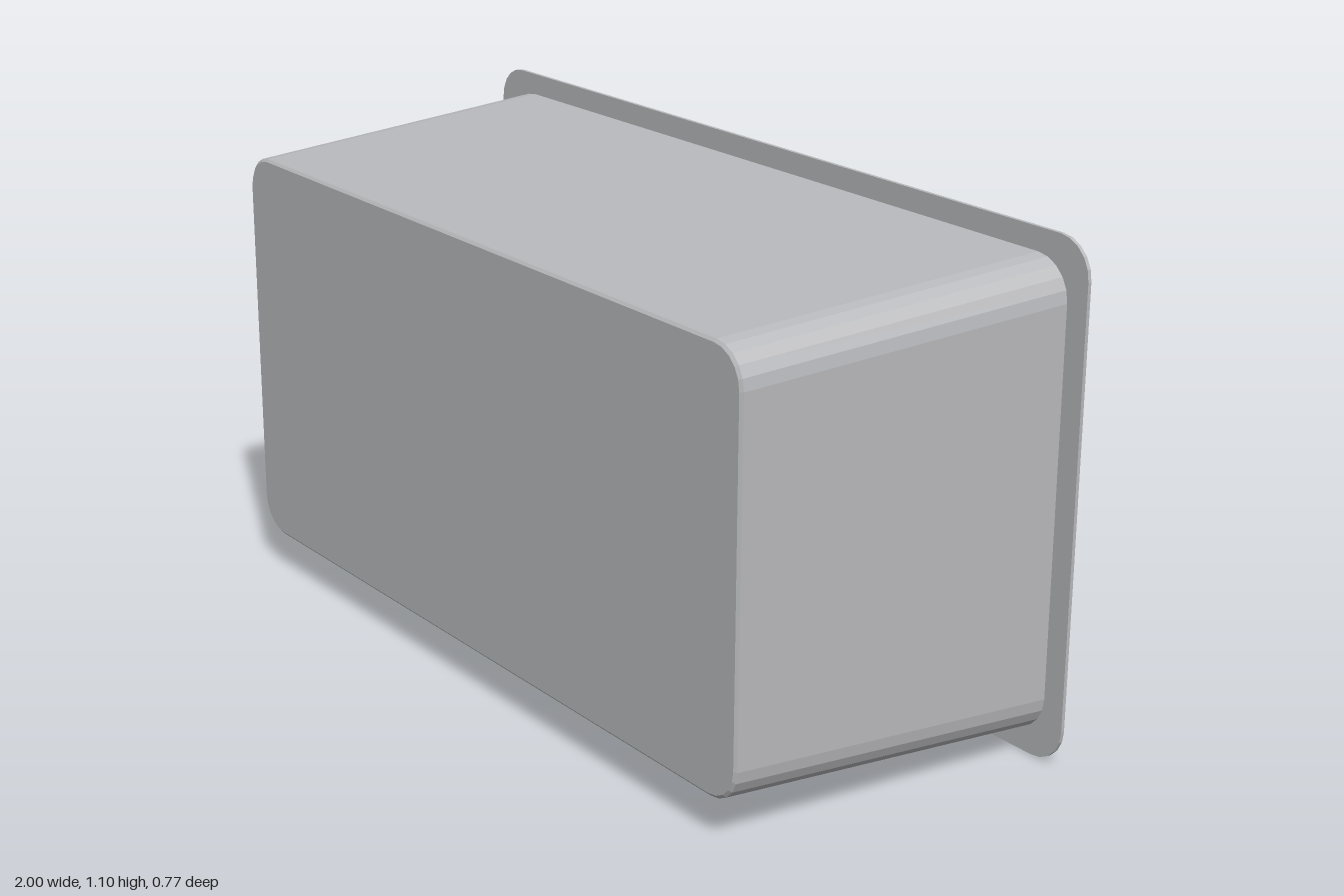
import * as THREE from 'three';

const mat = (name, color, flatShading = false) => {
  const m = new THREE.MeshStandardMaterial({ color, flatShading });
  m.name = name;
  return m;
};

// Rounded rectangle outline, counter-clockwise; segs = 1 gives chamfered corners
function outline(hw, hh, r, segs) {
  const pts = [];
  [[1, 1], [-1, 1], [-1, -1], [1, -1]].forEach(([sx, sy], c) => {
    for (let i = 0; i <= segs; i++) {
      const a = (c + i / segs) * Math.PI / 2;
      pts.push([sx * (hw - r) + r * Math.cos(a), sy * (hh - r) + r * Math.sin(a)]);
    }
  });
  return pts;
}

// Capped skin through sections [z, halfWidth, halfHeight, cornerRadius]
function loft(sections, segs) {
  const pos = [];
  const rings = sections.map(([z, w, h, r]) => outline(w, h, r, segs).map(([x, y]) => [x, y, z]));
  const n = rings[0].length;
  const tri = (...p) => p.forEach(v => pos.push(...v));
  const first = rings[0], last = rings[rings.length - 1];
  for (let i = 0; i < n; i++) {
    const j = (i + 1) % n;
    tri([0, 0, first[0][2]], first[j], first[i]);
    tri([0, 0, last[0][2]], last[i], last[j]);
    for (let k = 0; k < rings.length - 1; k++) {
      const a = rings[k], b = rings[k + 1];
      tri(a[i], a[j], b[j]);
      tri(a[i], b[j], b[i]);
    }
  }
  const g = new THREE.BufferGeometry();
  g.setAttribute('position', new THREE.Float32BufferAttribute(pos, 3));
  g.computeVertexNormals();
  return g;
}

export function createModel() {
  const shellGrey = mat('tray grey', 0xb9babd, true);
  const bodyGrey = mat('car body light grey', 0xc9cac8, true);
  const hubGrey = mat('hub grey', 0xb9babd);
  const dark = mat('rubber dark', 0x3c3c46);

  const model = new THREE.Group();
  const add = (parent, name, geometry, material, x = 0, y = 0, z = 0) => {
    const m = new THREE.Mesh(geometry, material);
    m.name = name;
    m.position.set(x, y, z);
    parent.add(m);
    return m;
  };

  // Tapered tray, open at the back: inside floor, inner wall, rim, outer wall, front
  add(model, 'tray', loft([
    [0.373, 0.9, 0.449, 0.08],
    [-0.383, 0.943, 0.496, 0.08],
    [-0.383, 1, 0.55, 0.08],
    [-0.375, 1, 0.55, 0.08],
    [-0.375, 0.948, 0.501, 0.085],
    [0.378, 0.905, 0.455, 0.08],
    [0.383, 0.898, 0.449, 0.075],
  ], 5), shellGrey, 0, 0.552 - 0.002, 0);

  // Car standing inside, its nose toward -x
  const car = new THREE.Group();
  car.name = 'car';
  model.add(car);

  const upright = (sections) => loft(sections, 1).rotateX(-Math.PI / 2);
  add(car, 'carBody', upright([
    [0.24, 0.38, 0.24, 0.06],
    [0.265, 0.393, 0.25, 0.07],
    [0.365, 0.395, 0.25, 0.07],
    [0.455, 0.23, 0.25, 0.015],
    [0.46, 0.225, 0.245, 0.012],
  ]), bodyGrey);
  add(car, 'cabin', upright([
    [0.45, 0.222, 0.248, 0.01],
    [0.724, 0.158, 0.19, 0.01],
    [0.732, 0.15, 0.182, 0.01],
  ]), bodyGrey, 0.005);
  add(car, 'chassis', new THREE.BoxGeometry(0.7, 0.05, 0.4), dark, 0, 0.22, 0);

  // Wheels, axles and bumpers
  const tyreProfile = [
    [0.001, -0.055], [0.08, -0.055], [0.105, -0.057], [0.121, -0.047], [0.127, -0.03],
    [0.127, 0.03], [0.121, 0.047], [0.105, 0.057], [0.08, 0.055], [0.001, 0.055],
  ].map(([r, h]) => new THREE.Vector2(r, h));
  const tyre = new THREE.LatheGeometry(tyreProfile, 20).rotateX(Math.PI / 2);
  const rod = (r, length, sides = 18) =>
    new THREE.CylinderGeometry(r, r, length, sides).rotateX(Math.PI / 2);
  const hub = rod(0.08, 0.02), hubCap = rod(0.037, 0.02, 12);
  const axle = rod(0.025, 0.5, 12);
  const bumper = new THREE.CapsuleGeometry(0.027, 0.42, 4, 10).rotateX(Math.PI / 2);

  for (const sx of [-1, 1]) {
    add(car, 'axle', axle, dark, sx * 0.26, 0.212, 0);
    add(car, 'bumper', bumper, dark, sx * 0.41, 0.252, 0);
    for (const sz of [-1, 1]) {
      const wheel = new THREE.Group();
      wheel.name = 'wheel';
      wheel.position.set(sx * 0.26, 0.212, sz * 0.289);
      add(wheel, 'tyre', tyre, dark);
      add(wheel, 'hub', hub, hubGrey, 0, 0, sz * 0.049);
      add(wheel, 'hubCap', hubCap, dark, 0, 0, sz * 0.053);
      car.add(wheel);
    }
  }
  return model;
}
